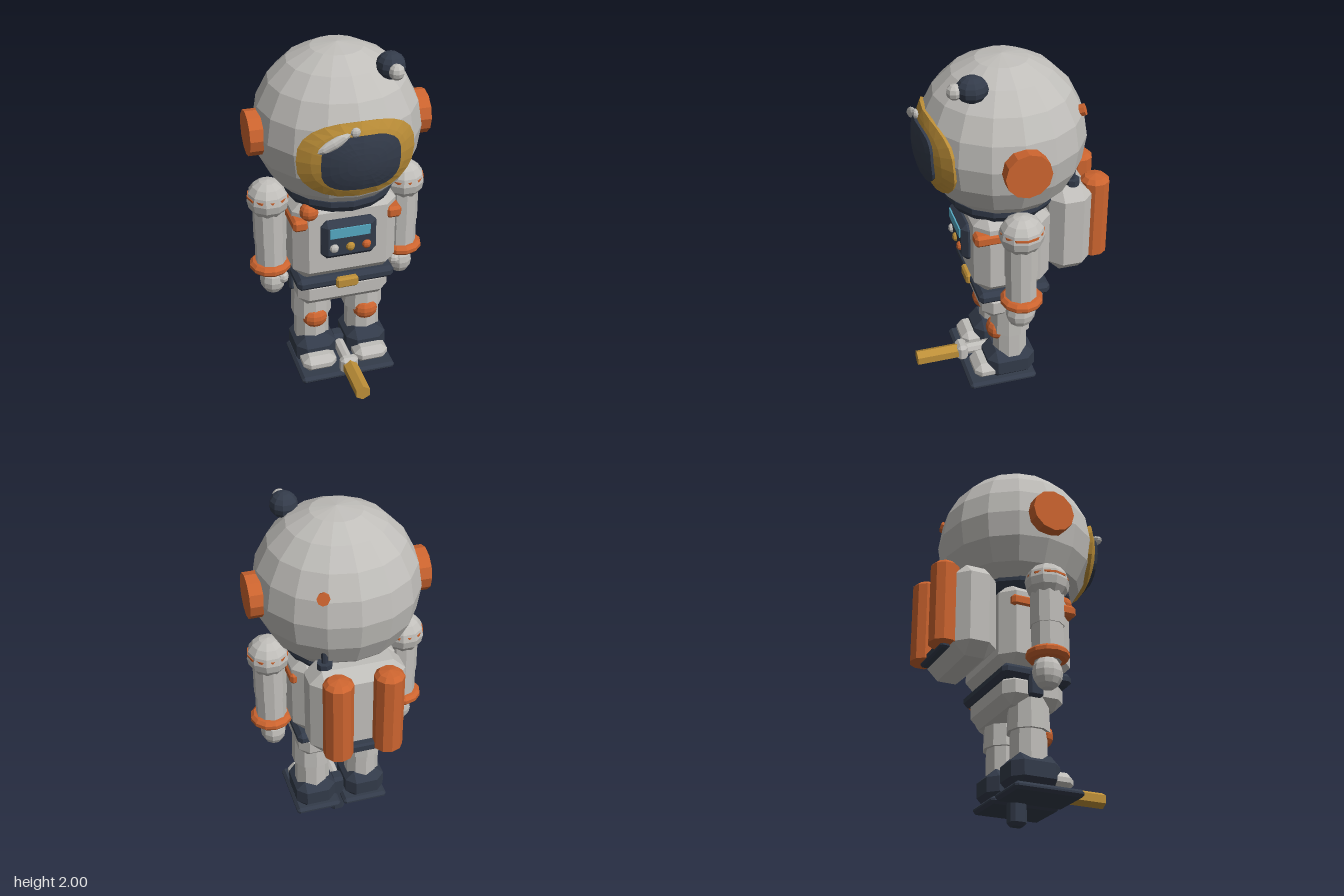
import * as THREE from 'three';
import { ConvexGeometry } from 'three/addons/geometries/ConvexGeometry.js';

const mat = (name, color) => Object.assign(new THREE.MeshStandardMaterial({ color }), { name });

export function createModel() {
  const root = new THREE.Group();
  root.name = 'astronaut';
  const suit = mat('suit grey', 0xc0beba);
  const dark = mat('dark navy', 0x333b4a);
  const orange = mat('orange', 0xcc642f);
  const gold = mat('gold', 0xbd8f38);
  const teal = mat('screen teal', 0x55a9c2);

  // Faceted mesh placed at a point
  function add(name, geo, material, x, y, z, parent = root) {
    const g = geo.index ? geo.toNonIndexed() : geo;
    g.computeVertexNormals();
    const mesh = new THREE.Mesh(g, material);
    mesh.name = name;
    mesh.position.set(x, y, z);
    parent.add(mesh);
    return mesh;
  }

  // Box with every edge cut at 45 degrees
  function chamferBox(w, h, d, c) {
    const pts = [];
    for (const sx of [-1, 1]) for (const sy of [-1, 1]) for (const sz of [-1, 1]) {
      const x = w / 2, y = h / 2, z = d / 2;
      pts.push(
        new THREE.Vector3(sx * x, sy * (y - c), sz * (z - c)),
        new THREE.Vector3(sx * (x - c), sy * y, sz * (z - c)),
        new THREE.Vector3(sx * (x - c), sy * (y - c), sz * z));
    }
    return new ConvexGeometry(pts);
  }

  const ball = (rx, ry, rz, ws = 10, hs = 8) => new THREE.SphereGeometry(1, ws, hs).scale(rx, ry, rz);
  const tube = (rt, rb, h, n = 10) => new THREE.CylinderGeometry(rt, rb, h, n);
  const lathe = (pts, n) => new THREE.LatheGeometry(pts.map(p => new THREE.Vector2(p[0], p[1])), n);

  // Curved plate with a soft rectangular outline lying on a sphere of radius R
  function visorPlate(a, b, R, yOff, power) {
    const n = 24, rows = 5, pos = [], index = [];
    const soft = v => Math.sign(v) * Math.abs(v) ** power;
    for (let r = 0; r <= rows + 1; r++) {
      const t = Math.min(r, rows) / rows;
      for (let i = 0; i < n; i++) {
        const ang = (i / n) * Math.PI * 2;
        const x = a * t * soft(Math.cos(ang)), y = yOff + b * t * soft(Math.sin(ang));
        const p = new THREE.Vector3(x, y, Math.sqrt(R * R - x * x - y * y));
        if (r > rows) p.multiplyScalar(0.9); // rim tucked into the helmet
        pos.push(p.x, p.y, p.z);
        if (r <= rows) {
          const j = (i + 1) % n, p0 = r * n, p1 = p0 + n;
          if (r > 0) index.push(p0 + i, p1 + j, p0 + j);
          index.push(p0 + i, p1 + i, p1 + j);
        }
      }
    }
    const g = new THREE.BufferGeometry();
    g.setAttribute('position', new THREE.Float32BufferAttribute(pos, 3));
    g.setIndex(index);
    return g;
  }

  // Helmet, visor and reflections
  add('helmet', new THREE.SphereGeometry(0.43, 16, 10), suit, 0, 1.57, 0.02);
  add('visorFrame', visorPlate(0.3, 0.205, 0.443, -0.02, 0.8), gold, 0, 1.57, 0.02);
  add('visorGlass', visorPlate(0.2, 0.145, 0.459, -0.02, 0.65), dark, 0, 1.57, 0.02);
  const glint = add('visorGlint', ball(0.09, 0.028, 0.018, 8, 6), suit, -0.14, 1.67, 0.45);
  glint.rotation.z = 0.45;
  add('visorGlintDot', ball(0.025, 0.025, 0.015, 8, 6), suit, -0.035, 1.715, 0.45);

  // Helmet lamp and rear light
  add('lampHousing', ball(0.073, 0.068, 0.08), dark, 0.21, 1.932, 0.225);
  add('lampBulb', ball(0.04, 0.04, 0.04, 8, 6), suit, 0.21, 1.93, 0.31);
  const rear = add('rearLight', tube(0.032, 0.032, 0.04, 8).rotateX(Math.PI / 2), orange, 0.17, 1.72, -0.34);
  rear.lookAt(0.34, 1.87, -0.7);

  // Collar, torso, belt and hips
  add('collar', lathe([[0.22, 1.19], [0.27, 1.2], [0.292, 1.235], [0.292, 1.265], [0.27, 1.29], [0.2, 1.3]], 16),
    dark, 0, 0, 0.03);
  add('torso', chamferBox(0.56, 0.49, 0.41, 0.07), suit, 0, 0.99, 0.028);
  add('belt', chamferBox(0.535, 0.07, 0.39, 0.022), dark, 0, 0.725, 0.023);
  add('buckle', chamferBox(0.12, 0.06, 0.04, 0.01), gold, 0, 0.72, 0.217);
  add('hips', chamferBox(0.5, 0.17, 0.34, 0.05), suit, 0, 0.645, 0.02);
  add('hipPouch', chamferBox(0.05, 0.14, 0.08, 0.012), dark, -0.248, 0.67, 0.01);
  add('chestKnob', ball(0.05, 0.05, 0.05), orange, -0.2, 1.175, 0.205);

  // Chest control panel
  add('controlPanel', chamferBox(0.296, 0.222, 0.08, 0.03), dark, 0, 1.013, 0.234);
  add('screen', new THREE.BoxGeometry(0.215, 0.055, 0.009), teal, -0.002, 1.064, 0.277);
  [suit, gold, orange].forEach((m, i) =>
    add('button', ball(0.025, 0.025, 0.02, 8, 6), m, (i - 1) * 0.087, 0.975, 0.274));

  // Limbs and straps, one set per side
  for (const s of [1, -1]) {
    const side = new THREE.Group();
    side.name = s > 0 ? 'leftSide' : 'rightSide';
    root.add(side);
    const put = (name, geo, m, x, y, z) => add(name, geo, m, s * x, y, z, side);

    put('earCap', tube(0.117, 0.117, 0.07, 12).rotateZ(Math.PI / 2), orange, 0.436, 1.57, 0.02);
    put('shoulderStrap', chamferBox(0.08, 0.065, 0.37, 0.015), orange, 0.25, 1.11, 0.055);

    put('shoulder', ball(0.112, 0.108, 0.118), suit, 0.37, 1.185, 0.024);
    put('shoulderStripe', tube(0.11, 0.11, 0.012, 12), orange, 0.37, 1.205, 0.024);
    put('upperArm', tube(0.088, 0.088, 0.2), suit, 0.365, 1.04, 0.024);
    put('forearm', tube(0.083, 0.083, 0.2), suit, 0.365, 0.87, 0.024);
    put('cuff', lathe([[0.07, 0.745], [0.095, 0.752], [0.112, 0.77], [0.112, 0.79], [0.095, 0.806], [0.07, 0.81]], 12),
      orange, 0.368, 0, 0.022);
    put('hand', ball(0.069, 0.09, 0.08), suit, 0.36, 0.69, 0.024);
    put('thumb', ball(0.032, 0.036, 0.036, 8, 6), suit, 0.313, 0.715, 0.07);

    put('thigh', tube(0.105, 0.112, 0.18), suit, 0.147, 0.53, 0.02);
    put('shin', tube(0.095, 0.098, 0.2), suit, 0.147, 0.36, 0.02);
    put('kneePad', ball(0.07, 0.062, 0.055), orange, 0.145, 0.435, 0.098);
    put('boot', chamferBox(0.226, 0.18, 0.27, 0.05), dark, 0.145, 0.225, 0.03);
    put('toeCap', chamferBox(0.19, 0.095, 0.16, 0.035), suit, 0.148, 0.195, 0.158);
    put('sole', chamferBox(0.256, 0.04, 0.38, 0.015), dark, 0.138, 0.132, 0.085);

    // Air tanks
    put('airTank', lathe([[0, 0.85], [0.077, 0.85], [0.077, 1.285], [0.055, 1.307], [0, 1.318]], 10),
      orange, 0.131, 0, -0.447);
  }

  // Backpack, tank bracket and aerial
  add('backpack', chamferBox(0.5, 0.515, 0.235, 0.065), suit, 0, 1.045, -0.297);
  add('tankBracket', chamferBox(0.3, 0.05, 0.05, 0.01), dark, 0, 0.855, -0.438);
  add('aerialBase', tube(0.04, 0.04, 0.035, 8), dark, 0.16, 1.312, -0.31);
  add('aerialRod', lathe([[0.016, 1.3], [0.018, 1.395], [0, 1.435]], 8), dark, 0.16, 0, -0.31);

  // Central peg with forward handle
  add('peg', chamferBox(0.08, 0.25, 0.09, 0.018), dark, 0, 0.125, 0.025);
  add('handleStem', tube(0.033, 0.033, 0.2, 8).rotateX(Math.PI / 2), suit, 0, 0.197, 0.15);
  add('handleNut', chamferBox(0.1, 0.1, 0.06, 0.018), suit, 0, 0.197, 0.262);
  add('handle', tube(0.043, 0.043, 0.235, 6).rotateX(Math.PI / 2), gold, 0, 0.195, 0.403);

  return root;
}
